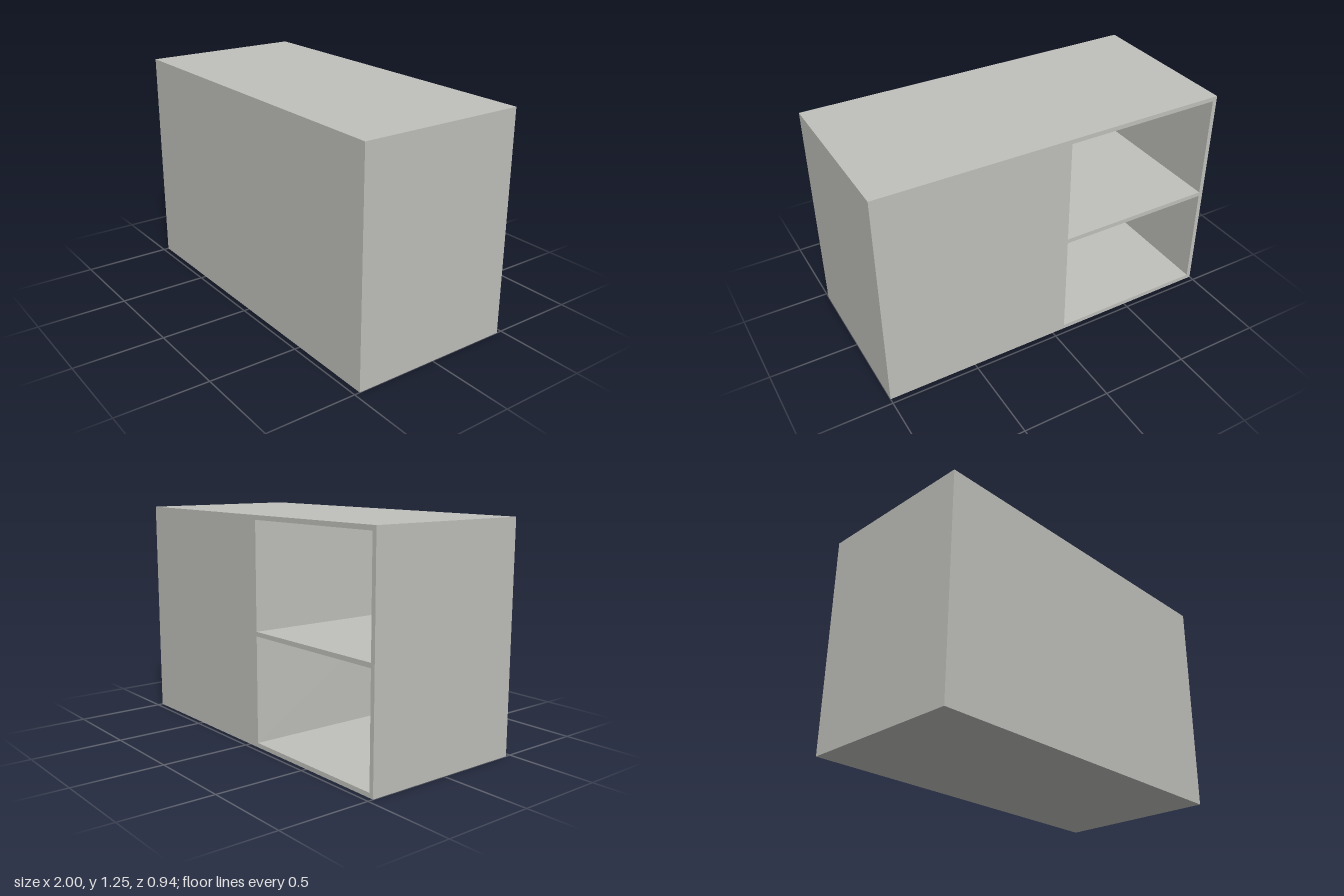
import * as THREE from 'three';

const W = 2, H = 1.25, D = 0.938;   // overall size
const T = 0.025;                    // board thickness
const PANEL = 0.003;                // thin front panel
const INNER = -0.075;               // side of the shelf bay facing the closed half

// Rectangle points between two corners
function rect(x0, y0, x1, y1) {
  return [[x0, y0], [x1, y0], [x1, y1], [x0, y1]].map(([x, y]) => new THREE.Vector2(x, y));
}

export function createModel() {
  const group = new THREE.Group();
  group.name = 'cabinet';
  const grey = new THREE.MeshStandardMaterial({ color: 0xc0c0bc });
  grey.name = 'warm grey';

  // Carcass: closed block with two stacked shelf bays open to the back
  const outline = new THREE.Shape(rect(-W / 2, 0, W / 2, H));
  const bayHeight = (H - 3 * T) / 2;
  for (let i = 0; i < 2; i++) {
    const y = T + i * (bayHeight + T);
    outline.holes.push(new THREE.Path(rect(-W / 2 + T, y, INNER, y + bayHeight)));
  }
  const carcass = new THREE.Mesh(
    new THREE.ExtrudeGeometry(outline, { depth: D - PANEL, bevelEnabled: false }), grey);
  carcass.name = 'carcass';
  carcass.position.z = -D / 2;
  group.add(carcass);

  // Front panel closing the bays
  const panel = new THREE.Mesh(new THREE.BoxGeometry(W, H, PANEL), grey);
  panel.name = 'frontPanel';
  panel.position.set(0, H / 2, D / 2 - PANEL / 2);
  group.add(panel);

  return group;
}
